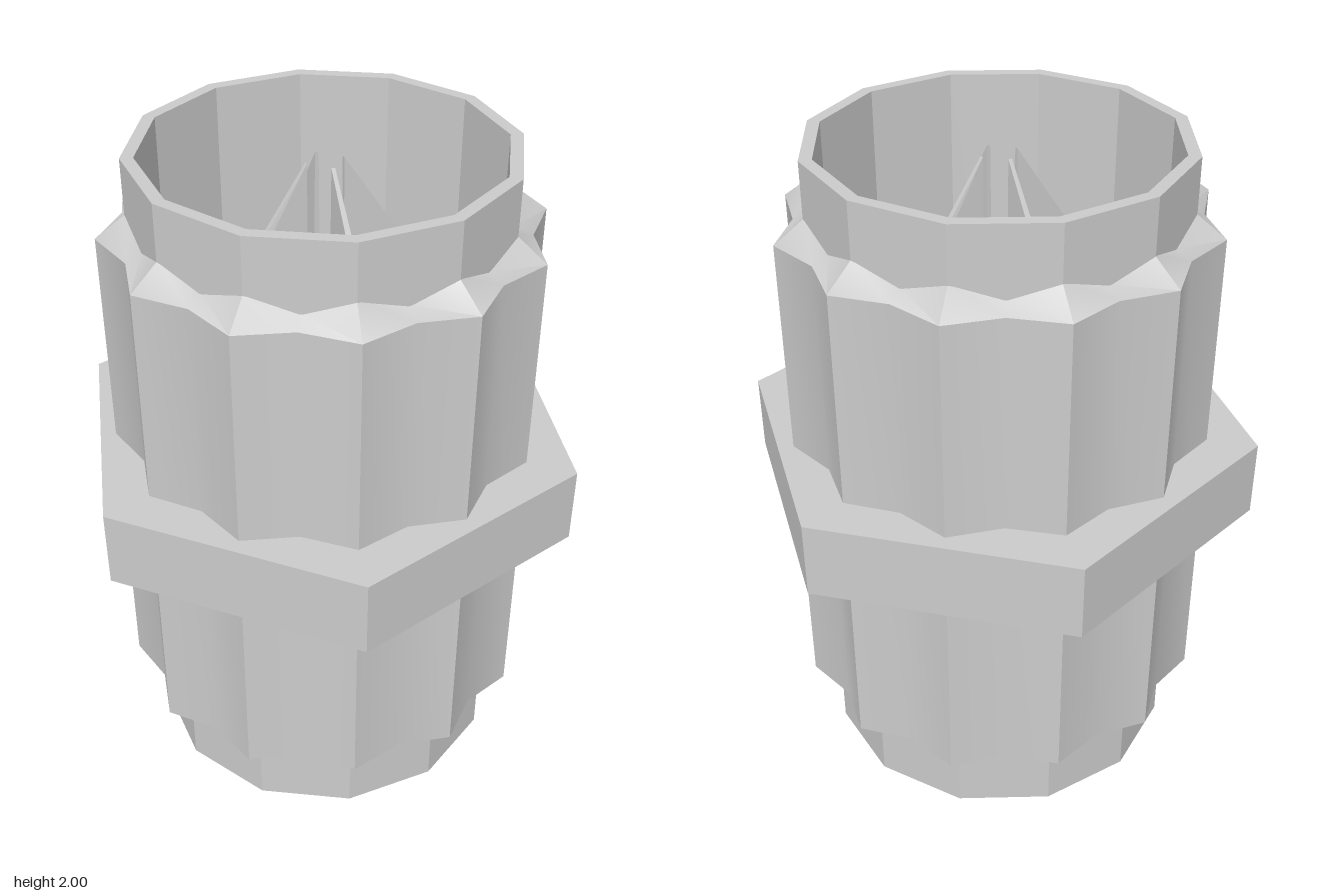
import * as THREE from 'three';
import { toCreasedNormals } from 'three/addons/utils/BufferGeometryUtils.js';

const grey = (options = {}) => new THREE.MeshStandardMaterial({ color: 0xcccccc, ...options });
const vectors = (pairs) => pairs.map(([r, y]) => new THREE.Vector2(r, y));

function addPart(group, name, geometry, material) {
  const mesh = new THREE.Mesh(geometry, material);
  mesh.name = name;
  group.add(mesh);
  return mesh;
}

// Twelve-ridged sleeve: every second lathe column is pulled in to form a valley
function sleeveGeometry() {
  const ridge = [[0.54, 0.17], [0.63, 0.24], [0.63, 1.77], [0.54, 1.84]];
  const valley = [[0.522, 0.215], [0.572, 0.24], [0.572, 1.77], [0.522, 1.795]];
  const geometry = new THREE.LatheGeometry(vectors(ridge), 24);
  const pos = geometry.attributes.position;
  for (let i = 0; i < pos.count; i++) {
    const column = Math.floor(i / ridge.length);
    const [r, y] = (column % 2 ? valley : ridge)[i % ridge.length];
    const angle = (column % 24) * Math.PI / 12;
    pos.setXYZ(i, r * Math.sin(angle), y, r * Math.cos(angle));
  }
  return toCreasedNormals(geometry, 0.6);
}

// Blade along +x: tall and thin at the hub, low and wide at the wall
function finGeometry() {
  const geometry = new THREE.BoxGeometry(1, 1, 1);
  const pos = geometry.attributes.position;
  for (let i = 0; i < pos.count; i++) {
    const outer = pos.getX(i) > 0;
    const top = pos.getY(i) > 0;
    const y = outer ? (top ? 1.37 : 1.28) : (top ? 1.96 : 1.6);
    const width = (outer ? 0.055 : 0.018) * (top ? 0.6 : 1);
    pos.setXYZ(i, outer ? 0.45 : 0.055, y, pos.getZ(i) * width);
  }
  return geometry;
}

export function createModel() {
  const group = new THREE.Group();
  const flat = grey({ flatShading: true });

  // Open twelve-sided pipe
  const wall = vectors([[0.545, 0], [0.545, 2], [0.508, 2], [0.508, 0], [0.545, 0]]);
  addPart(group, 'pipe', new THREE.LatheGeometry(wall, 12), flat);

  // Fluted outer sleeve
  addPart(group, 'flutedSleeve', sleeveGeometry(), grey());

  // Hexagonal collar
  const collar = addPart(group, 'hexCollar', new THREE.CylinderGeometry(0.78, 0.78, 0.235, 6), flat);
  collar.position.y = 1.003;

  // Cone inside the pipe, with a flat tip
  const cone = vectors([[0.505, 1.28], [0.44, 1.31], [0.045, 1.7]]);
  addPart(group, 'innerCone', new THREE.LatheGeometry(cone, 12), grey({ side: THREE.DoubleSide }));
  const tip = addPart(group, 'coneTip', new THREE.CylinderGeometry(0.045, 0.045, 0.02, 12), flat);
  tip.position.y = 1.695;

  // Four fins standing on the cone
  const fin = finGeometry();
  for (let i = 0; i < 4; i++) {
    const mesh = addPart(group, 'coneFin', fin, flat);
    mesh.rotation.y = 0.27 + i * Math.PI / 2;
  }
  return group;
}
